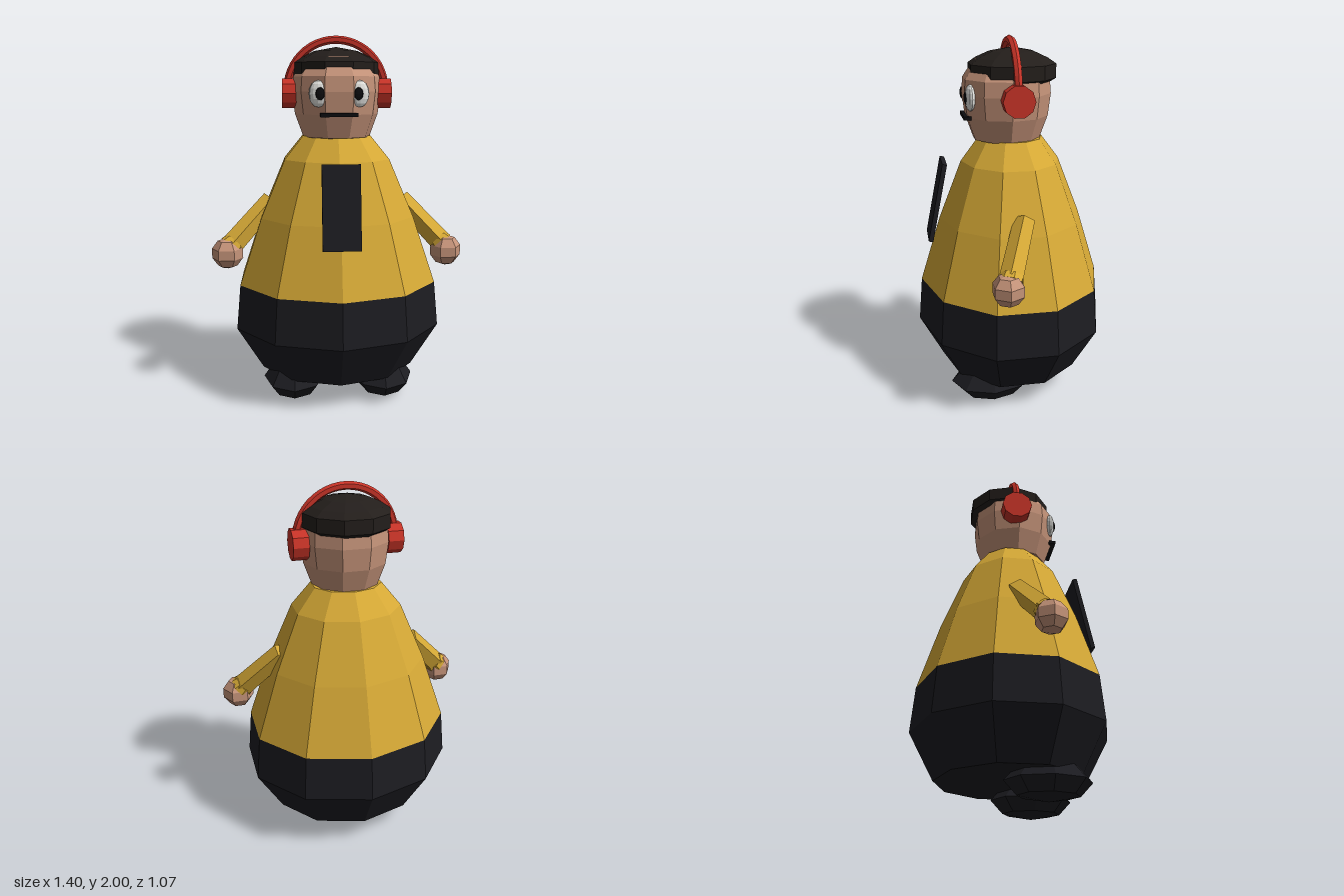
import * as THREE from 'three';

const paint = (color) => new THREE.MeshStandardMaterial({ color, flatShading: true });
const yellow = paint(0xd6a936), black = paint(0x1c1c21), skin = paint(0xc6947a);
const hatDark = paint(0x231e1b), red = paint(0xc93428), white = paint(0xe6e6e2), ink = paint(0x0d0d10);

export function createModel() {
  const model = new THREE.Group();

  const add = (name, geometry, material, x = 0, y = 0, z = 0) => {
    const mesh = new THREE.Mesh(geometry, material);
    mesh.name = name;
    mesh.position.set(x, y, z);
    model.add(mesh);
    return mesh;
  };
  // Ten-sided turned shape from [radius, height] pairs, bottom to top
  const turned = (profile, start = 0) =>
    new THREE.LatheGeometry(profile.map(([r, y]) => new THREE.Vector2(r, y)), 10, start);
  const ball = (rx, ry, rz, around, rings) =>
    new THREE.SphereGeometry(1, around, rings).scale(rx, ry, rz);

  // Body: trousers below, robe above, slightly flattened front to back
  add('trousers', turned([[0, 0.14], [0.447, 0.14], [0.597, 0.39], [0.573, 0.64]]), black).scale.z = 0.9;
  add('robe', turned([[0.573, 0.64], [0.445, 1.01], [0.305, 1.33], [0.196, 1.46], [0, 1.46]]), yellow).scale.z = 0.9;

  // Tilted panel floating before the chest
  add('chestPanel', new THREE.BoxGeometry(0.2, 0.445, 0.025), black, 0, 1.117, 0.415).rotation.x = -0.2;

  // Head and cap
  const flatFront = Math.PI / 10;
  add('head', turned([[0, 1.43], [0.185, 1.455], [0.23, 1.58], [0.245, 1.7], [0.238, 1.78], [0.17, 1.88], [0, 1.9]],
    flatFront), skin, 0, 0, 0.022);
  add('cap', turned([[0, 1.76], [0.2, 1.755], [0.24, 1.78], [0.24, 1.855], [0.195, 1.885], [0.12, 1.918], [0, 1.94]],
    flatFront), hatDark, 0, 0, -0.01);
  add('mouth', new THREE.BoxGeometry(0.2, 0.02, 0.04), ink, 0, 1.58, 0.242);

  // Headphone band
  add('headphoneBand', new THREE.TorusGeometry(0.27, 0.022, 6, 24, Math.PI), red, 0, 1.708, 0);

  for (const side of [1, -1]) {
    const label = side > 0 ? 'left' : 'right';

    // Headphone cup
    add(label + 'HeadphoneCup', new THREE.CylinderGeometry(0.085, 0.085, 0.085, 10), red, side * 0.257, 1.69, 0)
      .rotation.z = Math.PI / 2;

    // Eye
    add(label + 'Eye', ball(0.052, 0.07, 0.026, 12, 8), white, side * 0.108, 1.69, 0.228).rotation.y = side * 0.15;
    add(label + 'Pupil', ball(0.025, 0.034, 0.012, 10, 6), ink, side * 0.1, 1.69, 0.25);

    // Sleeve with cuff, running from shoulder to wrist
    const shoulder = new THREE.Vector3(side * 0.37, 1.09, -0.015);
    const wrist = new THREE.Vector3(side * 0.585, 0.862, 0.092);
    const along = wrist.clone().sub(shoulder);
    const aim = new THREE.Quaternion().setFromUnitVectors(new THREE.Vector3(0, -1, 0), along.clone().normalize());
    const middle = shoulder.clone().lerp(wrist, 0.5);
    add(label + 'Sleeve', new THREE.CylinderGeometry(0.058, 0.064, along.length(), 5), yellow, ...middle)
      .quaternion.copy(aim);
    add(label + 'Cuff', new THREE.CylinderGeometry(0.06, 0.068, 0.035, 8), yellow, ...wrist).quaternion.copy(aim);

    // Hand and shoe
    add(label + 'Hand', ball(0.09, 0.088, 0.09, 6, 5), skin, side * 0.614, 0.815, 0.112);
    add(label + 'Shoe', ball(0.172, 0.1, 0.225, 8, 4), black, side * 0.25, 0.1, 0.153);
  }

  return model;
}
